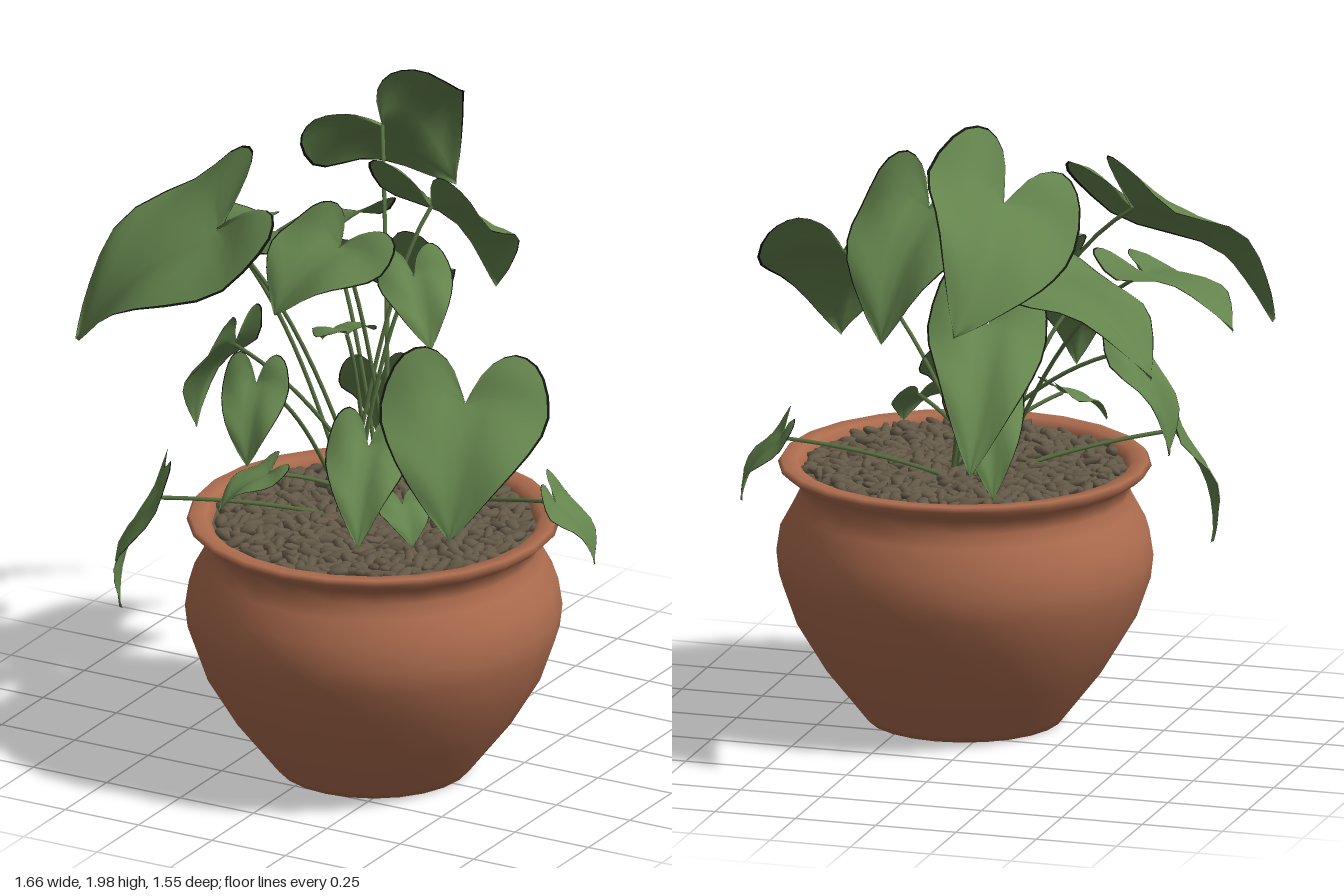
import * as THREE from 'three';
import { mergeGeometries } from 'three/addons/utils/BufferGeometryUtils.js';

const CX = 0.11, CZ = 0.22; // pot axis

// Half outline of a heart leaf: x along the midrib, y as a share of the half width
const HEART = new THREE.SplineCurve(
  [[0, 0], [-0.26, 0.22], [-0.37, 0.56], [-0.25, 0.88], [0.1, 1.02], [0.5, 0.74], [0.82, 0.32], [1, 0]]
    .map(([u, v]) => new THREE.Vector2(u, v)),
).getPoints(18);

// Shares of the half width; the outermost strip is the dark leaf edge
const ACROSS = [-1, -0.97, -0.75, -0.5, -0.25, 0, 0.25, 0.5, 0.75, 0.97, 1];

// Domed, slightly rippled heart leaf from base to tip; roll turns it about its midrib
function leafGeometry(base, tip, halfWidth, roll) {
  const axis = tip.clone().sub(base), len = axis.length();
  const dir = axis.clone().normalize();
  const side = new THREE.Vector3(-axis.z, 0, axis.x).normalize().applyAxisAngle(dir, -roll);
  const normal = side.clone().cross(dir);
  const cols = ACROSS.length, pos = [], blade = [], edge = [];
  HEART.forEach(({ x: u, y: v }) => {
    const mid = THREE.MathUtils.clamp(u, 0, 1);
    ACROSS.forEach((s) => {
      const t = Math.abs(s), along = mid + (u - mid) * t;
      const lift = 0.11 * Math.sin(Math.PI * Math.max(0, along)) + 0.06 * Math.sin(Math.PI * v * t)
        + 0.02 * Math.sin(along * 9 + s * 4) * t;
      const p = base.clone().addScaledVector(axis, along)
        .addScaledVector(side, halfWidth * v * s)
        .addScaledVector(normal, len * lift);
      pos.push(p.x, p.y, p.z);
    });
  });
  for (let i = 0; i < HEART.length - 1; i++) {
    for (let j = 0; j < cols - 1; j++) {
      const k = i * cols + j;
      const strip = j === 0 || j === cols - 2 ? edge : blade;
      strip.push(k, k + cols, k + 1, k + 1, k + cols, k + cols + 1);
    }
  }
  const g = new THREE.BufferGeometry();
  g.setAttribute('position', new THREE.Float32BufferAttribute(pos, 3));
  g.setIndex([...blade, ...edge]);
  g.addGroup(0, blade.length, 0);
  g.addGroup(blade.length, edge.length, 1);
  g.computeVertexNormals();
  return g;
}

// Thin stalk rising from the soil and bending over to the leaf base
function stemGeometry(end, i) {
  const start = new THREE.Vector3(0.06 + 0.07 * Math.cos(i * 2.4), 0.76, 0.16 + 0.07 * Math.sin(i * 2.4));
  const bend = start.clone().lerp(end, 0.45);
  bend.y = start.y + (end.y - start.y) * 0.8;
  return new THREE.TubeGeometry(new THREE.QuadraticBezierCurve3(start, bend, end), 14, 0.0065, 5);
}

// Large leaves: base xyz, tip xyz, half width, roll
const LARGE_LEAVES = [
  [-0.2, 1.77, -0.38, -0.17, 1.46, -0.77, 0.25, 0.73],
  [0.11, 1.66, -0.13, 0.17, 1.32, -0.42, 0.225, -0.03],
  [-0.27, 1.48, -0.18, -0.64, 1.25, -0.31, 0.22, 0.05],
  [-0.41, 1.61, 0.24, -0.79, 1.25, 0.42, 0.28, 0.36],
  [-0.52, 1.48, -0.01, -0.84, 1.37, -0.14, 0.165, 0.2],
  [-0.09, 1.56, 0.07, -0.19, 1.4, 0.29, 0.21, 0.12],
  [0.14, 1.5, 0.03, 0.27, 1.33, 0.16, 0.11, -0.15],
  [0.57, 1.33, 0.48, 0.66, 1, 0.74, 0.25, 0.05],
  [-0.12, 1.36, -0.28, -0.18, 1, -0.65, 0.175, 0.2],
  [-0.16, 1.24, 0.45, -0.13, 1.02, 0.56, 0.1, 0],
];

// Small leaves hang away from the pot axis: base xyz, reach, drop, half width
const SMALL_LEAVES = [
  [-0.42, 1.2, 0.12, 0.15, 0.3, 0.11],
  [-0.44, 0.85, 0.53, 0.12, 0.35, 0.08],
  [0.62, 0.87, 0.03, 0.12, 0.19, 0.12],
  [0.15, 1.05, 0.32, 0.25, 0.22, 0.125],
  [0.31, 0.93, 0.4, 0.09, 0.1, 0.08],
  [-0.12, 0.96, 0.45, 0.15, 0.1, 0.09],
  [-0.04, 1.09, -0.08, 0.2, 0.27, 0.12],
  [-0.05, 1.3, 0.1, 0.18, 0.08, 0.09],
];

// Overlapping bark chips scattered evenly over the soil
function chipsGeometry() {
  let seed = 7;
  const rnd = () => (seed = (seed * 16807) % 2147483647) / 2147483647;
  const parts = [], count = 560;
  for (let i = 0; i < count; i++) {
    const r = 0.46 * Math.sqrt((i + 0.5) / count), angle = i * 2.39996;
    const g = new THREE.SphereGeometry(1, 7, 5);
    g.scale(0.028 + 0.022 * rnd(), 0.012 + 0.007 * rnd(), 0.014 + 0.009 * rnd());
    g.rotateZ((rnd() - 0.5) * 0.9);
    g.rotateY(rnd() * Math.PI * 2);
    g.translate(CX + r * Math.cos(angle), 0.77 + 0.016 * rnd(), CZ + r * Math.sin(angle));
    parts.push(g);
  }
  return mergeGeometries(parts);
}

export function createModel() {
  const mat = (name, color, side = THREE.FrontSide) => {
    const m = new THREE.MeshStandardMaterial({ color, side });
    m.name = name;
    return m;
  };
  const terracotta = mat('terracotta', 0xad6c4e);
  const bark = mat('bark', 0x655a48);
  const leafGreen = mat('leaf green', 0x64844d, THREE.DoubleSide);
  const leafEdge = mat('dark leaf edge', 0x12160d, THREE.DoubleSide);
  const stemGreen = mat('stem green', 0x56703f);

  const model = new THREE.Group();
  model.name = 'pottedPlant';
  const foliage = new THREE.Group();
  foliage.name = 'foliage';
  model.add(foliage);
  const add = (name, geometry, material, parent = model) => {
    const mesh = new THREE.Mesh(geometry, material);
    mesh.name = name;
    parent.add(mesh);
    return mesh;
  };

  // Pot with a flared rim and a closed base
  const profile = [
    [0, 0.005], [0.29, 0.005], [0.31, 0.03], [0.42, 0.17], [0.51, 0.32], [0.552, 0.44], [0.56, 0.51],
    [0.548, 0.59], [0.51, 0.66], [0.49, 0.7], [0.497, 0.74], [0.53, 0.762], [0.555, 0.785],
    [0.545, 0.8], [0.5, 0.797], [0.48, 0.77], [0.48, 0.72],
  ].map(([r, y]) => new THREE.Vector2(r, y));
  const pot = add('pot', new THREE.LatheGeometry(profile, 24), terracotta);
  pot.position.set(CX, 0, CZ);

  // Soil bed and its chips
  const soil = add('soil', new THREE.CylinderGeometry(0.485, 0.485, 0.03, 24), bark);
  soil.position.set(CX, 0.755, CZ);
  add('barkChips', chipsGeometry(), bark);

  // Leaves, each on its own stalk
  const addLeaf = (name, i, base, tip, halfWidth, roll) => {
    add(`${name}Leaf${i + 1}`, leafGeometry(base, tip, halfWidth, roll), [leafGreen, leafEdge], foliage);
    add(`${name}Stem${i + 1}`, stemGeometry(base, i), stemGreen, foliage);
  };
  LARGE_LEAVES.forEach(([x, y, z, tx, ty, tz, halfWidth, roll], i) => {
    addLeaf('large', i, new THREE.Vector3(x, y, z), new THREE.Vector3(tx, ty, tz), halfWidth, roll);
  });
  SMALL_LEAVES.forEach(([x, y, z, reach, drop, halfWidth], i) => {
    const base = new THREE.Vector3(x, y, z);
    const tip = new THREE.Vector3(x - CX, 0, z - CZ).setLength(reach).add(base);
    tip.y -= drop;
    addLeaf('small', i, base, tip, halfWidth, 0);
  });
  return model;
}
